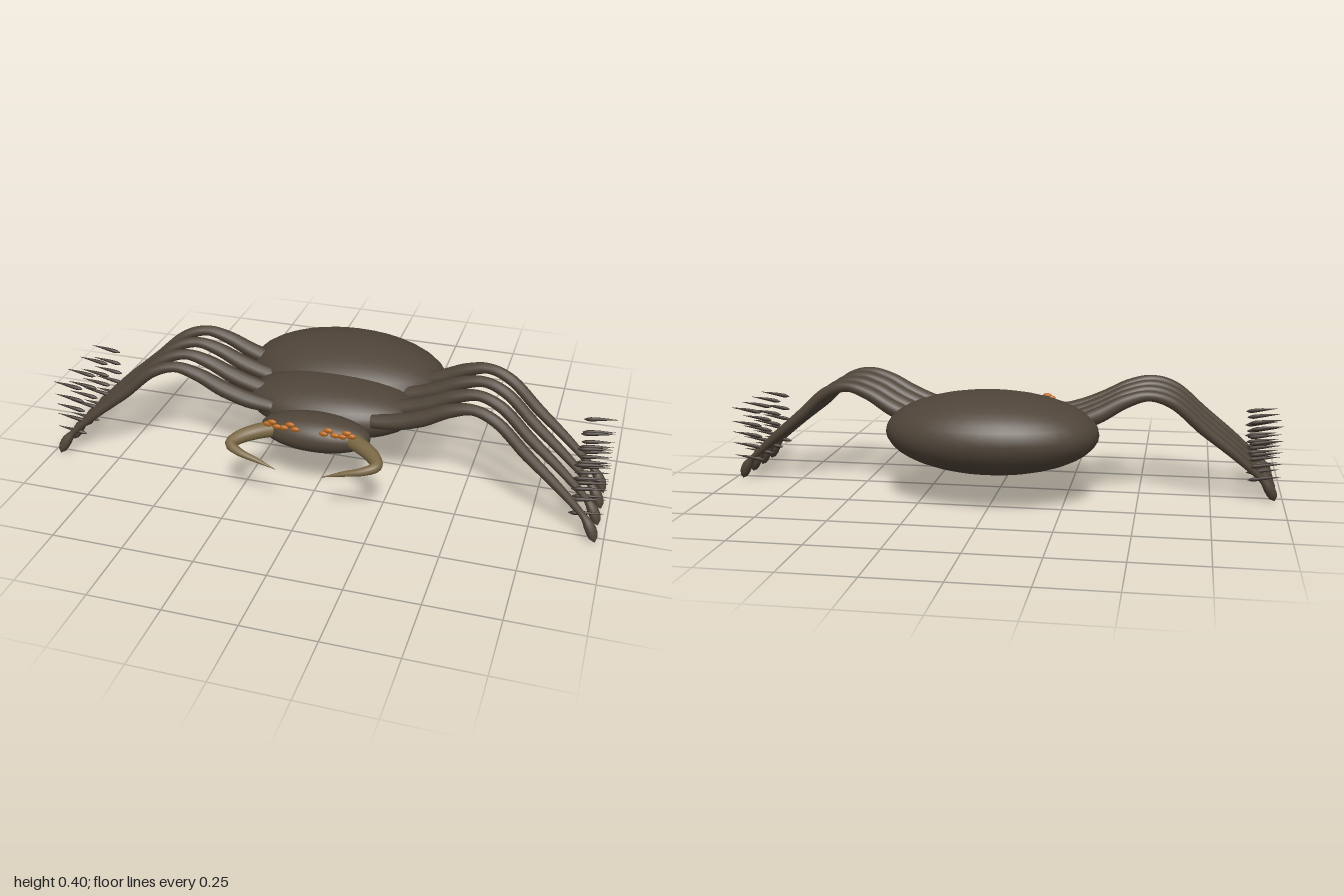
import * as THREE from 'three';
import { mergeVertices } from 'three/addons/utils/BufferGeometryUtils.js';

const material = (name, color) => {
  const m = new THREE.MeshStandardMaterial({ color });
  m.name = name;
  return m;
};

// Tapered limb: each row is x, y, z, radius; side (+1 / -1) mirrors it
function taperedTube(rows, side, segments, sides) {
  const curve = new THREE.CatmullRomCurve3(
    rows.map(([x, y, z]) => new THREE.Vector3(x * side, y, z)));
  const tube = new THREE.TubeGeometry(curve, segments, 1, sides);
  const pos = tube.attributes.position;
  const v = new THREE.Vector3();
  for (let i = 0; i <= segments; i++) {
    const u = i / segments;
    const centre = curve.getPointAt(u);
    const f = curve.getUtoTmapping(u) * (rows.length - 1);
    const k = Math.min(Math.floor(f), rows.length - 2);
    const r = THREE.MathUtils.lerp(rows[k][3], rows[k + 1][3], f - k);
    for (let j = 0; j <= sides; j++) {
      const n = i * (sides + 1) + j;
      v.fromBufferAttribute(pos, n).sub(centre).multiplyScalar(r).add(centre);
      pos.setXYZ(n, v.x, v.y, v.z);
    }
  }
  tube.deleteAttribute('normal');
  tube.deleteAttribute('uv');
  const smooth = mergeVertices(tube, 1e-5);
  smooth.computeVertexNormals();
  return smooth;
}

export function createModel() {
  const model = new THREE.Group();
  model.name = 'spider';
  const shell = material('dark brown shell', 0x4f4438);
  const bristle = material('dark bristle', 0x3a3029);
  const horn = material('tan horn', 0x7a6845);
  const amber = material('amber eye', 0xb5651a);

  const add = (name, geometry, mat, parent = model) => {
    const mesh = new THREE.Mesh(geometry, mat);
    mesh.name = name;
    parent.add(mesh);
    return mesh;
  };
  const ellipsoid = (name, mat, centre, radii, w = 32, h = 20) => {
    const mesh = add(name, new THREE.SphereGeometry(1, w, h), mat);
    mesh.position.set(...centre);
    mesh.scale.set(...radii);
    return mesh;
  };

  // Body
  ellipsoid('abdomen', shell, [0, 0.253, -0.188], [0.37, 0.142, 0.235]);
  ellipsoid('thorax', shell, [0, 0.24, 0.03], [0.31, 0.101, 0.17]);
  ellipsoid('head', shell, [0, 0.234, 0.23], [0.195, 0.065, 0.084]);

  // Leg path, z measured from the leg's own peak
  const legRows = [
    [0.18, 0.262, -0.03, 0.024], [0.27, 0.278, -0.026, 0.029],
    [0.36, 0.312, -0.018, 0.029], [0.45, 0.36, -0.008, 0.024],
    [0.53, 0.381, 0, 0.0185], [0.61, 0.357, 0.014, 0.02],
    [0.72, 0.262, 0.034, 0.02], [0.83, 0.172, 0.052, 0.016],
    [0.925, 0.085, 0.07, 0.011], [0.948, 0.056, 0.077, 0.019],
    [0.96, 0.034, 0.083, 0.019], [0.968, 0.015, 0.09, 0.013],
    [0.973, 0.004, 0.092, 0.001],
  ];
  const bristleHeights = [0.272, 0.221, 0.181, 0.14, 0.092];

  for (const side of [1, -1]) {
    const label = side > 0 ? 'left' : 'right';

    // Four legs, each with a row of bristles behind the shin
    for (let i = 0; i < 4; i++) {
      const leg = new THREE.Group();
      leg.name = `${label}Leg${i + 1}`;
      leg.position.z = 0.185 - i * 0.1015;
      model.add(leg);
      add('limb', taperedTube(legRows, side, 64, 12), shell, leg);
      bristleHeights.forEach((y, n) => {
        const spike = add('bristle', taperedTube([
          [0.875, y - 0.008, 0.053, 0.001], [0.892, y - 0.006, 0.053, 0.008],
          [0.93, y, 0.053, 0.006], [0.988, y + 0.007, 0.053, 0.0005],
        ], side, 10, 8), bristle, leg);
        spike.position.z = n === 4 ? 0.008 : 0;
      });
    }

    // Curved fang
    add(`${label}Fang`, taperedTube([
      [0.12, 0.24, 0.25, 0.028], [0.185, 0.241, 0.295, 0.027],
      [0.237, 0.234, 0.34, 0.024], [0.254, 0.228, 0.378, 0.019],
      [0.215, 0.217, 0.403, 0.014], [0.15, 0.202, 0.413, 0.009],
      [0.08, 0.181, 0.419, 0.0008],
    ], side, 40, 14), horn);

    // Cluster of small eyes
    for (const [x, y] of [[0.067, 0.288], [0.132, 0.288], [0.05, 0.273], [0.09, 0.273], [0.115, 0.273], [0.147, 0.279]]) {
      ellipsoid(`${label}Eye`, amber, [x * side, y, 0.299], [0.017, 0.0095, 0.007], 12, 8);
    }
  }
  return model;
}
